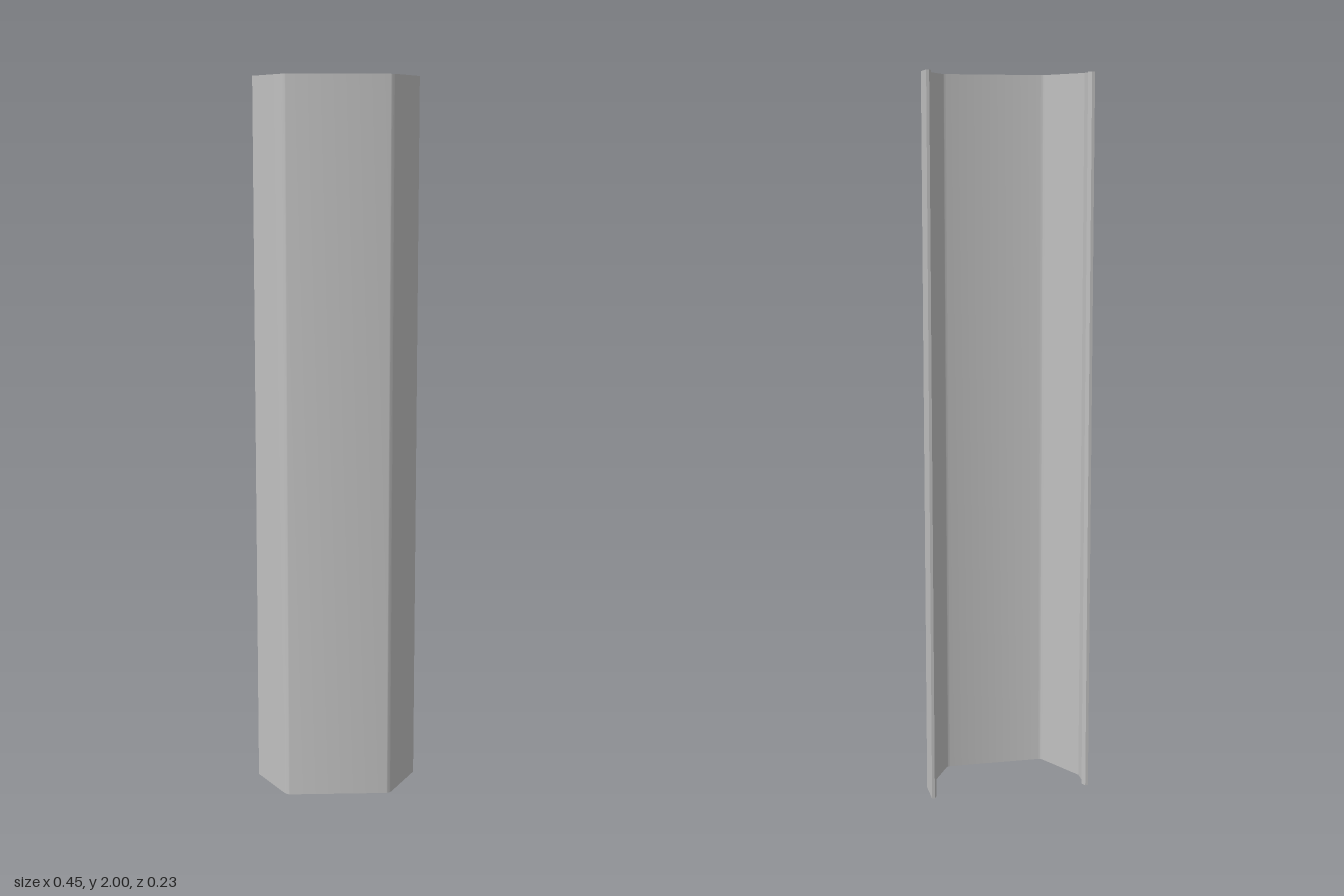
import * as THREE from 'three';
import { toCreasedNormals } from 'three/addons/utils/BufferGeometryUtils.js';

export function createModel() {
  const group = new THREE.Group();
  group.name = 'channelProfile';
  const metal = new THREE.MeshStandardMaterial({ color: 0xc0c0c0 });
  metal.name = 'light grey';

  // Half of the cross-section as [x, z], split at the rounded corners
  const wallOuter = [[0.227, -0.035], [0.227, -0.117]];
  const lip = [[0.219, -0.117], [0.212, -0.102], [0.220, -0.098]];
  const wallInner = [[0.220, -0.037]];
  const outerCorner = [[0.135, 0.117], [0.147, 0.117], [0.155, 0.101]];
  const innerCorner = [[0.148, 0.097], [0.142, 0.108], [0.134, 0.108]];

  const arc = (pts) => new THREE.QuadraticBezierCurve(
    ...pts.map(([x, z]) => new THREE.Vector2(x, z))
  ).getPoints(8).map((p) => [p.x, p.y]);

  const outer = [...arc(outerCorner), ...wallOuter];
  const inner = [...lip, ...wallInner, ...arc(innerCorner)];
  const half = [...outer, ...inner];
  const mirrored = half.map(([x, z]) => [-x, z]).reverse();

  // Extrude the closed section upward
  const shape = new THREE.Shape(
    [...half, ...mirrored].map(([x, z]) => new THREE.Vector2(x, -z))
  );
  const geometry = new THREE.ExtrudeGeometry(shape, { depth: 2, bevelEnabled: false });
  geometry.rotateX(-Math.PI / 2);

  const channel = new THREE.Mesh(toCreasedNormals(geometry, 0.4), metal);
  channel.name = 'channel';
  group.add(channel);
  return group;
}
